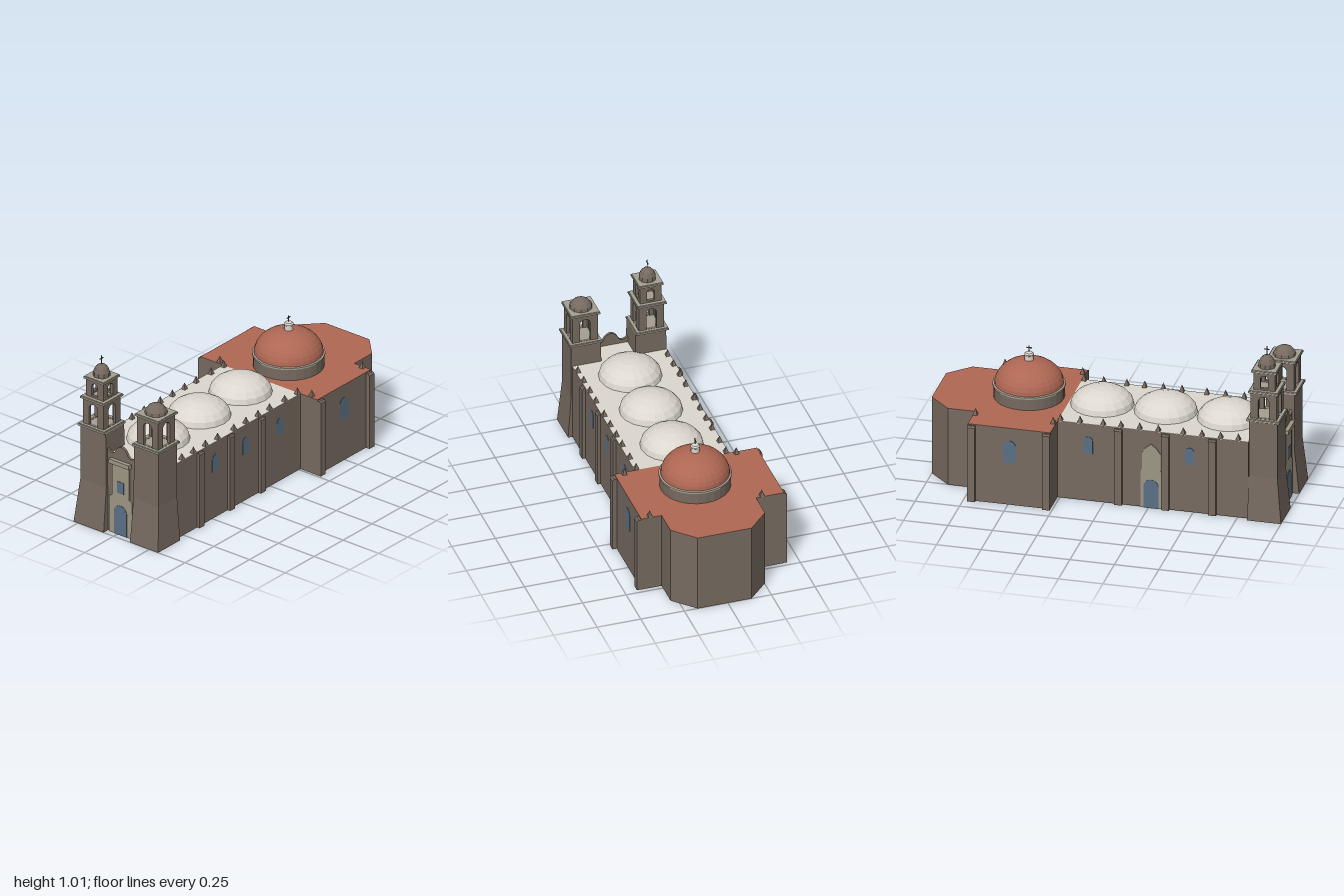
import * as THREE from 'three';

const mat = (name, color, extra = {}) => {
  const m = new THREE.MeshStandardMaterial({ color, ...extra });
  m.name = name;
  return m;
};

export function createModel() {
  const model = new THREE.Group();
  model.name = 'church';
  const wall = mat('brown stone', 0x766a60, { side: THREE.DoubleSide, flatShading: true });
  const roof = mat('pale plaster', 0xdcd7ce, { flatShading: true });
  const tile = mat('terracotta', 0xae6753, { flatShading: true });
  const trim = mat('trim stone', 0xa4a092, { flatShading: true });
  const portalStone = mat('portal stone', 0x9d9683);
  const glass = mat('blue glass', 0x5a7085);
  const dark = mat('dark iron', 0x544a42);
  const CZ = 0.018; // long axis of the church

  const add = (name, geo, material, x = 0, y = 0, z = 0, parent = model) => {
    const m = new THREE.Mesh(geo, material);
    m.name = name;
    m.position.set(x, y, z);
    parent.add(m);
    return m;
  };
  // Box given by its limits
  const box = (name, material, x0, x1, y0, y1, z0, z1, parent) =>
    add(name, new THREE.BoxGeometry(x1 - x0, y1 - y0, z1 - z0), material,
      (x0 + x1) / 2, (y0 + y1) / 2, (z0 + z1) / 2, parent);
  const lathe = (name, pts, sides, material, x, y, z) =>
    add(name, new THREE.LatheGeometry(pts.map(p => new THREE.Vector2(...p)), sides), material, x, y, z);
  const extrude = (shape, depth) =>
    new THREE.ExtrudeGeometry(shape, { depth, bevelEnabled: false, curveSegments: 8 });
  // Round-headed outline standing on y = y0
  const arch = (w, h, y0 = 0, Type = THREE.Shape) => {
    const s = new Type(), r = w / 2;
    s.moveTo(-r, y0);
    s.lineTo(r, y0);
    s.lineTo(r, y0 + h - r);
    s.absarc(0, y0 + h - r, r, 0, Math.PI, false);
    s.lineTo(-r, y0);
    return s;
  };
  const polygon = pts => new THREE.Shape(pts.map(p => new THREE.Vector2(...p)));
  // Hollow walls, open below, through rings { y, pts: [[x, z], ...] }
  const shell = rings => {
    const p = [];
    for (let i = 0; i + 1 < rings.length; i++) {
      const a = rings[i].pts.map(([x, z]) => [x, rings[i].y, z]);
      const b = rings[i + 1].pts.map(([x, z]) => [x, rings[i + 1].y, z]);
      a.forEach((c, k) => {
        const n = (k + 1) % a.length;
        p.push(...c, ...a[n], ...b[n], ...c, ...b[n], ...b[k]);
      });
    }
    const g = new THREE.BufferGeometry();
    g.setAttribute('position', new THREE.Float32BufferAttribute(p, 3));
    g.computeVertexNormals();
    return g;
  };
  const rect = (x0, x1, z0, z1) => [[x0, z1], [x1, z1], [x1, z0], [x0, z0]];

  // Hollow blocks with thin roofs: nave, entrance bay, transept with chamfered apse
  const H = 0.459;
  const block = (name, pts, material) => {
    add(name + 'Walls', shell([{ y: 0, pts }, { y: H, pts }]), wall);
    const slab = extrude(polygon(pts.map(([x, z]) => [x, -z])), 0.002);
    add(name + 'Roof', slab, material, 0, H, 0).rotation.x = -Math.PI / 2;
  };
  block('nave', rect(-0.81, 0.262, -0.255, 0.287), roof);
  block('entranceBay', rect(-0.945, -0.81, -0.075, 0.12), roof);
  block('transept', [[0.262, 0.405], [0.727, 0.405], [0.727, 0.289], [0.88, 0.289], [1, 0.173], [1, -0.136],
    [0.88, -0.253], [0.727, -0.253], [0.727, -0.413], [0.262, -0.413]], tile);

  // Buttresses with sloped heads, on both long sides
  const buttress = (x, z, reach) => {
    const s = polygon([[0, 0], [reach, 0], [reach, 0.445], [reach * 0.6, 0.454], [0, 0.454]]);
    const geo = extrude(s, 0.043);
    geo.translate(0, 0, -0.0215);
    add('buttress', geo, wall, x, 0, z).rotation.y = z > 0 ? -Math.PI / 2 : Math.PI / 2;
  };
  for (const x of [-0.61, -0.346, -0.081]) {
    buttress(x, 0.285, 0.02);
    buttress(x, -0.253, 0.02);
  }
  for (const x of [0.283, 0.704]) {
    buttress(x, 0.403, 0.027);
    buttress(x, -0.411, 0.02);
  }

  // Parapet pinnacles
  const spike = (x, z) => {
    const geo = new THREE.ConeGeometry(0.019, 0.04, 4);
    geo.rotateY(Math.PI / 4);
    add('pinnacle', geo, wall, x, 0.48, z);
  };
  for (const x of [-0.75, -0.65, -0.545, -0.44, -0.3, -0.195, -0.09, 0.01, 0.14, 0.25])
    for (const z of [-0.24, 0.275]) spike(x, z);
  for (const x of [0.278, 0.715]) for (const z of [-0.29, 0.353]) spike(x, z);

  // Arched windows on both long sides
  const win = (x, y, z, w, h) => {
    const m = add('window', extrude(arch(w, h), 0.002), glass, x, y, z);
    if (z < 0) m.rotation.y = Math.PI;
  };
  for (const x of [-0.475, -0.213, 0.085]) win(x, 0.285, 0.287, 0.052, 0.1);
  for (const x of [-0.48, 0.09]) win(x, 0.285, -0.255, 0.052, 0.1);
  win(0.493, 0.255, 0.405, 0.072, 0.13);
  win(0.493, 0.255, -0.413, 0.072, 0.13);

  // Side portal on the back wall
  const side = new THREE.Group();
  side.name = 'sidePortal';
  side.position.set(-0.265, 0, -0.255);
  side.rotation.y = Math.PI;
  model.add(side);
  add('portalPanel', extrude(polygon([[-0.058, 0], [0.058, 0], [0.058, 0.22], [0.052, 0.23], [0.052, 0.33],
    [0.03, 0.36], [0, 0.385], [-0.03, 0.36], [-0.052, 0.33], [-0.052, 0.23], [-0.058, 0.22]]), 0.007),
    portalStone, 0, 0, 0, side);
  add('portalDoor', extrude(arch(0.085, 0.17), 0.002), glass, 0, 0, 0.007, side);

  // Entrance front with curved gable, portal, door and window
  const front = new THREE.Group();
  front.name = 'entranceFront';
  front.position.set(-0.945, 0, 0.022);
  front.rotation.y = -Math.PI / 2;
  model.add(front);
  const gable = new THREE.Shape();
  gable.moveTo(-0.1, 0);
  gable.lineTo(0.1, 0);
  gable.lineTo(0.1, 0.5);
  gable.quadraticCurveTo(0.065, 0.465, 0.045, 0.495);
  gable.quadraticCurveTo(0.03, 0.53, 0, 0.535);
  gable.quadraticCurveTo(-0.03, 0.53, -0.045, 0.495);
  gable.quadraticCurveTo(-0.065, 0.465, -0.1, 0.5);
  add('gableWall', extrude(gable, 0.015), wall, 0, 0, 0, front);
  add('frontPanel', extrude(polygon([[-0.08, 0], [0.08, 0], [0.08, 0.22], [0.06, 0.23], [0.06, 0.43], [-0.06, 0.43],
    [-0.06, 0.23], [-0.08, 0.22]]), 0.007), portalStone, 0, 0, 0.015, front);
  add('frontDoor', extrude(arch(0.09, 0.18), 0.002), glass, 0, 0, 0.022, front);
  box('frontWindow', glass, -0.024, 0.024, 0.255, 0.325, 0.02, 0.024, front);
  box('frontCornice', portalStone, -0.07, 0.07, 0.427, 0.452, 0.01, 0.038, front);

  // Tower cornice in two steps
  const TX = -0.893;
  const cornice = (z, y, half) => {
    box('cornice', trim, TX - half + 0.004, TX + half - 0.004, y, y + 0.017, z - half + 0.004, z + half - 0.004);
    box('corniceBand', trim, TX - half, TX + half, y + 0.003, y + 0.013, z - half, z + half);
  };
  // Belfry stage: four walls pierced by arches
  const belfry = (z, y, half, h, ow, oy, oh) => {
    const g = new THREE.Group();
    g.name = 'belfry';
    g.position.set(TX, y, z);
    const t = 0.018;
    for (let i = 0; i < 4; i++) {
      const w = i % 2 ? half - t : half;
      const s = polygon([[-w, 0], [w, 0], [w, h], [-w, h]]);
      s.holes.push(arch(ow, oh, oy, THREE.Path));
      const geo = extrude(s, t);
      geo.translate(0, 0, half - t);
      add('belfryWall', geo, wall, 0, 0, 0, g).rotation.y = i * Math.PI / 2;
    }
    model.add(g);
  };
  const cross = (x, y, z, h) => {
    box('crossPost', dark, x - 0.002, x + 0.002, y, y + h, z - 0.002, z + 0.002);
    box('crossArm', dark, x - 0.015, x + 0.015, y + h * 0.62, y + h * 0.62 + 0.005, z - 0.002, z + 0.002);
  };

  // Tower shafts with battered feet
  add('southTowerShaft', shell([{ y: 0, pts: rect(-1, -0.81, 0.115, 0.312) },
    { y: 0.26, pts: rect(-0.973, -0.813, 0.118, 0.293) }, { y: 0.59, pts: rect(-0.973, -0.813, 0.122, 0.293) }]), wall);
  add('northTowerShaft', shell([{ y: 0, pts: rect(-1, -0.81, -0.28, -0.07) },
    { y: 0.26, pts: rect(-0.973, -0.813, -0.255, -0.073) }, { y: 0.59, pts: rect(-0.973, -0.813, -0.252, -0.077) }]), wall);
  const SZ = 0.211, NZ = -0.17;
  cornice(SZ, 0.587, 0.093);
  cornice(NZ, 0.587, 0.093);

  // South tower: one belfry and a low dome
  belfry(SZ, 0.602, 0.073, 0.17, 0.06, 0.003, 0.14);
  cornice(SZ, 0.768, 0.084);
  lathe('southTowerDome', [[0.064, 0], [0.06, 0.018], [0.045, 0.038], [0.025, 0.051], [0, 0.056]], 10, wall, TX, 0.785, SZ);

  // North tower: two belfries, a tall dome and a cross
  belfry(NZ, 0.602, 0.073, 0.155, 0.06, 0.003, 0.13);
  cornice(NZ, 0.754, 0.084);
  belfry(NZ, 0.77, 0.061, 0.107, 0.043, 0.012, 0.075);
  cornice(NZ, 0.873, 0.071);
  lathe('northTowerDome', [[0.048, 0], [0.046, 0.025], [0.036, 0.048], [0.02, 0.064], [0, 0.07]], 10, wall, TX, 0.89, NZ);
  cross(TX, 0.957, NZ, 0.053);

  // Domes as half ellipses
  const ellipse = (r, h, n) => Array.from({ length: n + 1 }, (_, i) => {
    const a = i / n * Math.PI / 2;
    return [r * Math.cos(a), h * Math.sin(a)];
  });
  for (const x of [-0.632, -0.277, 0.08])
    lathe('naveDome', ellipse(0.175, 0.105, 5), 18, roof, x, 0.46, CZ - 0.003);

  // Crossing dome on its drum, with lantern and cross
  const DX = 0.493;
  add('drum', new THREE.CylinderGeometry(0.195, 0.195, 0.07, 28), wall, DX, 0.495, CZ);
  lathe('drumRing', [[0.192, 0], [0.2, 0.003], [0.2, 0.013], [0.188, 0.016]], 28, trim, DX, 0.525, CZ);
  lathe('crossingDome', ellipse(0.19, 0.141, 9), 28, tile, DX, 0.538, CZ);
  lathe('lantern', [[0.025, 0], [0.025, 0.034], [0.027, 0.036], [0.027, 0.042], [0.02, 0.05], [0, 0.055]],
    12, roof, DX, 0.67, CZ);
  cross(DX, 0.722, CZ, 0.038);

  return model;
}
